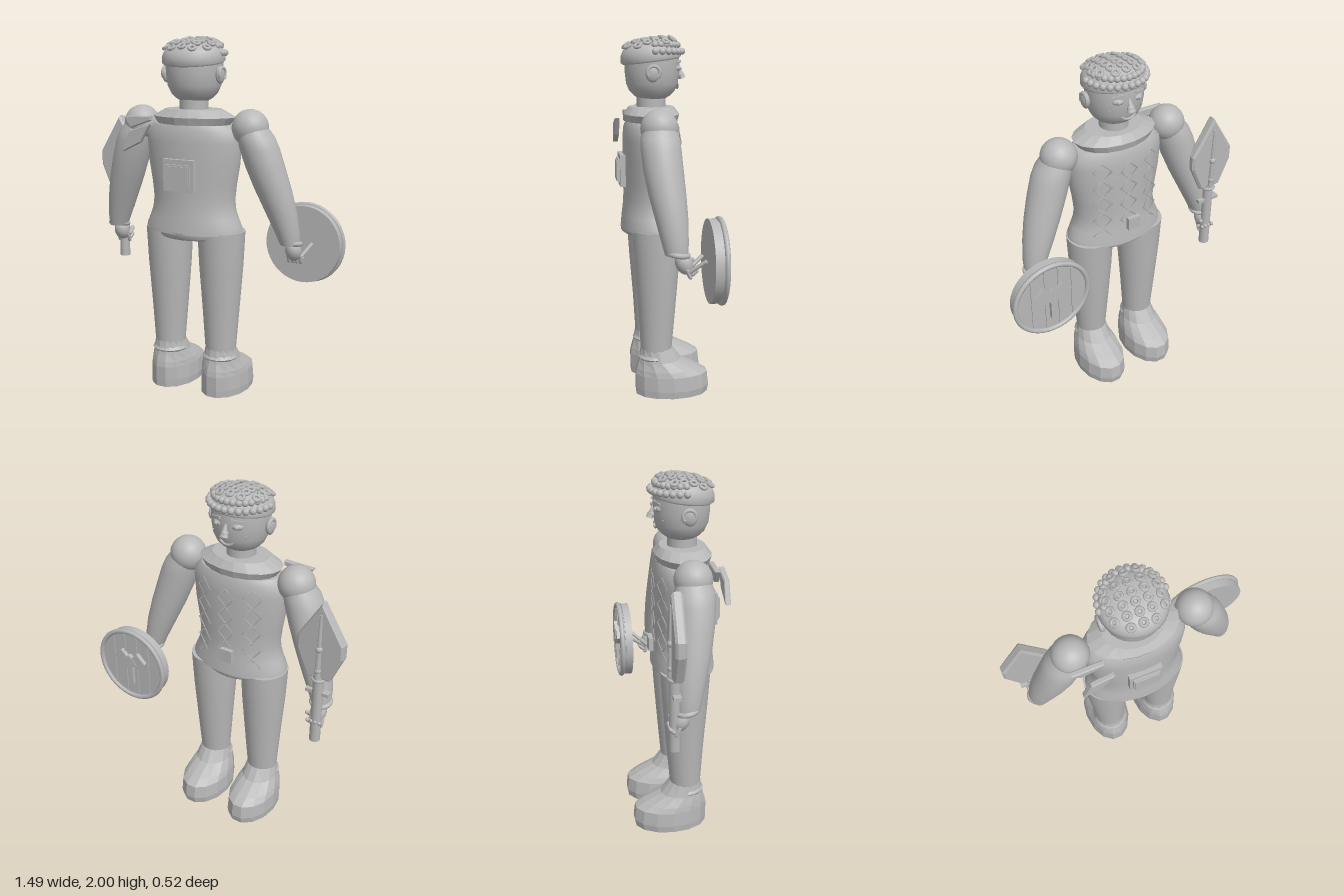
import * as THREE from 'three';

const grey = new THREE.MeshStandardMaterial({ color: 0xb8b8b8, side: THREE.DoubleSide });
grey.name = 'plain grey';

function add(parent, name, geo, x = 0, y = 0, z = 0, rx = 0, ry = 0, rz = 0) {
  const m = new THREE.Mesh(geo, grey);
  m.name = name;
  m.position.set(x, y, z);
  m.rotation.set(rx, ry, rz);
  parent.add(m);
  return m;
}

function flat(geo) {
  const g = geo.index ? geo.toNonIndexed() : geo;
  g.computeVertexNormals();
  return g;
}

// Skin over horizontal ellipses, bottom to top: [y, cx, cz, rx, rz]
function loft(rows, n = 28) {
  const p = [], idx = [];
  const ring = ([y, cx, cz, rx, rz]) => {
    for (let i = 0; i < n; i++) {
      const a = (i / n) * Math.PI * 2;
      p.push(cx + rx * Math.cos(a), y, cz + rz * Math.sin(a));
    }
  };
  rows.forEach(ring);
  for (let j = 0; j < rows.length - 1; j++) for (let i = 0; i < n; i++) {
    const a = j * n + i, d = j * n + (i + 1) % n;
    idx.push(a, a + n, d + n, a, d + n, d);
  }
  // End caps with their own vertices
  [rows[0], rows[rows.length - 1]].forEach((r, k) => {
    const s = p.length / 3;
    ring(r);
    p.push(r[1], r[0], r[2]);
    for (let i = 0; i < n; i++) {
      const a = s + i, b = s + (i + 1) % n;
      if (k) idx.push(s + n, b, a); else idx.push(s + n, a, b);
    }
  });
  const g = new THREE.BufferGeometry();
  g.setAttribute('position', new THREE.Float32BufferAttribute(p, 3));
  g.setIndex(idx);
  g.computeVertexNormals();
  return g;
}

// Flat plate from an outline in x and y
function plate(pts, depth, bevel) {
  const s = new THREE.Shape(pts.map(([x, y]) => new THREE.Vector2(x, y)));
  return flat(new THREE.ExtrudeGeometry(s, { depth, bevelSize: bevel, bevelThickness: bevel, bevelOffset: -bevel, bevelSegments: 1 }));
}

// Straight rod between two points
function rod(parent, name, a, b, r) {
  const A = new THREE.Vector3(...a), d = new THREE.Vector3(...b).sub(A);
  const m = add(parent, name, new THREE.CylinderGeometry(r, r, d.length(), 8));
  m.position.copy(A).addScaledVector(d, 0.5);
  m.quaternion.setFromUnitVectors(new THREE.Vector3(0, 1, 0), d.normalize());
}

function buildHead(body) {
  const head = new THREE.Group();
  head.name = 'head';
  body.add(head);
  add(head, 'neck', new THREE.CylinderGeometry(0.08, 0.08, 0.13, 28), 0, 1.635, 0.055);
  add(head, 'skull', loft([[1.66, 0, 0.05, 0.08, 0.075], [1.675, 0, 0.05, 0.105, 0.1], [1.70, 0, 0.05, 0.128, 0.125],
    [1.74, 0, 0.05, 0.147, 0.143], [1.80, 0, 0.05, 0.156, 0.15], [1.86, 0, 0.05, 0.16, 0.152], [1.91, 0, 0.05, 0.155, 0.145]]));
  const hair = add(head, 'hairCap', loft([[-0.045, 0, 0, 0.165, 0.155], [-0.035, 0, 0, 0.174, 0.168], [0, 0, 0, 0.172, 0.164],
    [0.03, 0, 0, 0.158, 0.149], [0.055, 0, 0, 0.123, 0.118], [0.068, 0, 0, 0.07, 0.07], [0.072, 0, 0, 0.01, 0.01]]), 0, 1.905, 0.06);
  hair.rotation.x = 0.12;
  // Rows of curls over the crown, tilted to follow it
  const curl = new THREE.TorusGeometry(0.017, 0.009, 6, 10);
  for (let i = -2; i <= 2; i++) for (let j = -2; j <= 3; j++) {
    const x = i * 0.062, z = j * 0.05 - 0.02;
    const r2 = (x / 0.17) ** 2 + (z / 0.17) ** 2;
    if (r2 < 1) add(head, 'curl', curl, x, 1.905 + 0.077 * Math.sqrt(1 - r2 * r2) - z * 0.12, z + 0.06, Math.PI / 2 + z * 4.5, -x * 4, 0);
  }
  // Bead curls around the sides and forehead
  const bead = new THREE.SphereGeometry(0.019, 10, 8);
  for (let k = 0; k < 2; k++) for (let i = 0; i < 15; i++) {
    const a = Math.PI + (i / 14) * Math.PI, r = 0.165 - k * 0.025;
    add(head, 'fringeCurl', bead, r * Math.cos(a), 1.915 + k * 0.035, 0.05 + r * Math.sin(a));
  }
  // Face, turned towards -z
  const nose = add(head, 'nose', new THREE.ConeGeometry(0.025, 0.085, 12), 0, 1.81, -0.106, 0.3);
  nose.scale.z = 0.8;
  add(head, 'noseTip', new THREE.SphereGeometry(0.021, 12, 8), 0, 1.785, -0.11);
  add(head, 'mouth', new THREE.TorusGeometry(0.055, 0.007, 6, 14, 1.8), 0, 1.77, -0.081, 0.15, 0, -Math.PI / 2 - 0.9);
  for (const s of [-1, 1]) {
    add(head, 'eye', new THREE.SphereGeometry(0.031, 14, 10), s * 0.06, 1.825, -0.083, 0, -s * 0.4).scale.set(1, 0.55, 0.5);
    add(head, 'pupil', new THREE.SphereGeometry(0.011, 10, 8), s * 0.061, 1.825, -0.096);
    add(head, 'eyebrow', new THREE.BoxGeometry(0.065, 0.012, 0.014), s * 0.062, 1.857, -0.088, 0, -s * 0.4, -s * 0.15);
    for (let k = 0; k < 3; k++) add(head, 'freckle', new THREE.SphereGeometry(0.005, 6, 5), s * (0.06 + 0.018 * k), 1.77 + (k % 2) * 0.015, -0.08 + k * 0.008);
    add(head, 'ear', new THREE.SphereGeometry(0.045, 14, 12), s * 0.165, 1.8, 0.065).scale.set(0.45, 1.05, 0.85);
    add(head, 'earRim', new THREE.TorusGeometry(0.033, 0.011, 8, 14, 4.6), s * 0.173, 1.805, 0.06, 0, Math.PI / 2, -0.8);
  }
}

function buildTorso(body) {
  add(body, 'torso', loft([[0.94, 0, 0.055, 0.29, 0.175], [0.97, 0, 0.055, 0.287, 0.172], [1.02, 0, 0.055, 0.265, 0.167],
    [1.06, 0, 0.055, 0.25, 0.162], [1.12, 0, 0.055, 0.243, 0.158], [1.2, 0, 0.055, 0.252, 0.158], [1.32, 0, 0.055, 0.273, 0.16],
    [1.44, 0, 0.055, 0.283, 0.16], [1.5, 0, 0.055, 0.275, 0.155], [1.535, 0, 0.055, 0.235, 0.143]], 40));
  add(body, 'shirtHem', loft([[0.9, 0, 0.055, 0.13, 0.1], [0.907, 0, 0.056, 0.195, 0.155], [0.92, 0, 0.058, 0.205, 0.17], [0.95, 0, 0.058, 0.208, 0.174]], 24));
  add(body, 'collar', flat(loft([[1.52, 0, 0.055, 0.205, 0.14], [1.575, 0, 0.055, 0.243, 0.155], [1.615, 0, 0.055, 0.165, 0.125]], 18)));
  // Diamond stitches on the chest
  const diamond = new THREE.TorusGeometry(0.05, 0.005, 4, 4);
  for (const x of [-0.15, 0, 0.15]) for (let k = 0; k < 5; k++) {
    const z = 0.055 - 0.159 * Math.sqrt(1 - (x / 0.275) ** 2);
    add(body, 'chestDiamond', diamond, x, 1.43 - k * 0.105 - (x ? 0 : 0.02), z, 0, -x * 2.5, 0);
  }
  add(body, 'buckle', new THREE.BoxGeometry(0.075, 0.075, 0.025), -0.02, 1.07, -0.125);
  // Square patch on the back
  add(body, 'backPatch', new THREE.BoxGeometry(0.185, 0.175, 0.03), 0, 1.267, 0.222);
  add(body, 'backPatchFrame', new THREE.BoxGeometry(0.15, 0.125, 0.014), 0, 1.265, 0.241);
  add(body, 'backPatchCentre', new THREE.BoxGeometry(0.135, 0.11, 0.012), 0, 1.264, 0.249);
}

function buildLimbs(body, s) {
  add(body, 'leg', loft([[0.2, s * 0.165, 0.05, 0.086, 0.086], [0.27, s * 0.165, 0.048, 0.088, 0.088], [0.5, s * 0.165, 0.045, 0.105, 0.105],
    [0.75, s * 0.165, 0.045, 0.124, 0.125], [0.95, s * 0.165, 0.045, 0.133, 0.138]]));
  add(body, 'shoe', flat(loft([[0, s * 0.165, -0.039, 0.134, 0.207], [0.04, s * 0.165, -0.042, 0.138, 0.212], [0.12, s * 0.165, -0.037, 0.133, 0.208],
    [0.15, s * 0.165, -0.015, 0.125, 0.18], [0.2, s * 0.165, 0.028, 0.104, 0.122], [0.27, s * 0.165, 0.048, 0.087, 0.089]], 14)));
  add(body, 'heelBand', flat(new THREE.TorusGeometry(0.084, 0.018, 5, 14, Math.PI)), s * 0.165, 0.218, 0.05, Math.PI / 2);

  add(body, 'shoulder', new THREE.SphereGeometry(0.1, 24, 18), s * 0.338, 1.525, 0.05);
  add(body, 'arm', loft([[0.9, s * 0.552, -0.012, 0.052, 0.06], [0.96, s * 0.54, -0.006, 0.066, 0.07], [1.08, s * 0.505, 0.008, 0.086, 0.086],
    [1.2, s * 0.465, 0.025, 0.1, 0.098], [1.32, s * 0.424, 0.04, 0.107, 0.105], [1.42, s * 0.392, 0.048, 0.108, 0.106], [1.48, s * 0.372, 0.05, 0.1, 0.102], [1.54, s * 0.345, 0.05, 0.08, 0.08]]));
  add(body, 'cuff', new THREE.TorusGeometry(0.051, 0.014, 8, 20), s * 0.555, 0.905, -0.02, Math.PI / 2 - 0.15);
  add(body, 'palm', new THREE.SphereGeometry(0.05, 16, 12), s * 0.558, 0.855, -0.05, 0.4).scale.set(0.9, 1.2, 0.9);
  for (let k = 0; k < 4; k++) {
    const x = s * (0.523 + k * 0.023);
    add(body, 'finger', new THREE.CapsuleGeometry(0.011, 0.04, 4, 8), x, 0.808, -0.07, 0.4);
    add(body, 'fingertip', new THREE.CapsuleGeometry(0.011, 0.025, 4, 8), x, 0.815, -0.1, -0.8);
  }
  add(body, 'thumb', new THREE.CapsuleGeometry(0.012, 0.04, 4, 8), s * 0.515, 0.85, -0.085, -0.8);
}

function buildShield(root) {
  const g = new THREE.Group();
  g.name = 'shield';
  g.position.set(0.509, 0.865, 0);
  root.add(g);
  add(g, 'shieldBack', new THREE.CylinderGeometry(0.219, 0.219, 0.042, 40), 0, 0, -0.195, Math.PI / 2);
  add(g, 'shieldBoard', new THREE.CylinderGeometry(0.21, 0.21, 0.025, 40), 0, 0, -0.222, Math.PI / 2);
  add(g, 'shieldRim', new THREE.TorusGeometry(0.217, 0.014, 8, 40), 0, 0, -0.235);
  for (const x of [-0.12, -0.04, 0.04, 0.12])
    add(g, 'plankSeam', new THREE.BoxGeometry(0.008, 2 * Math.sqrt(0.04 - x * x), 0.008), x, 0, -0.236);
  // Raised emblem: three diamonds on a stem
  for (const [x, y] of [[-0.055, 0.045], [0.055, 0.045], [0, 0.025]])
    add(g, 'emblemDiamond', new THREE.BoxGeometry(0.075, 0.075, 0.025), x, y, -0.246 - (x ? 0 : 0.003), 0, 0, Math.PI / 4);
  add(g, 'emblemStem', new THREE.BoxGeometry(0.035, 0.11, 0.022), 0, -0.07, -0.245);
  // Grip prongs reaching from the hand
  rod(g, 'gripProng', [-0.02, -0.05, -0.07], [-0.06, 0.015, -0.155], 0.011);
  rod(g, 'gripProng', [0.03, -0.05, -0.07], [0.065, 0.015, -0.155], 0.011);
}

function buildSpear(root) {
  const g = new THREE.Group();
  g.name = 'spear';
  g.position.set(-0.613, 0, -0.073);
  root.add(g);
  add(g, 'blade', plate([[0, 1.545], [-0.132, 1.33], [-0.132, 1.25], [-0.065, 1.095], [0.065, 1.095], [0.132, 1.25], [0.132, 1.33]], 0.034, 0.012), 0, 0, -0.017);
  add(g, 'shaft', new THREE.CylinderGeometry(0.03, 0.03, 0.42, 12), 0, 0.9, -0.01);
  add(g, 'bladeRidge', new THREE.CylinderGeometry(0.007, 0.018, 0.38, 8), 0, 1.29, -0.03);
  for (const y of [1.15, 1.28]) add(g, 'ridgeRing', new THREE.SphereGeometry(0.02, 10, 8), 0, y, -0.03);
  add(g, 'guard', new THREE.BoxGeometry(0.135, 0.02, 0.04), 0, 1.005, -0.005);
  add(g, 'shaftRing', new THREE.TorusGeometry(0.033, 0.009, 6, 16), 0, 1.09, -0.01, Math.PI / 2);
}

export function createModel() {
  const root = new THREE.Group();
  root.name = 'warrior';
  const body = new THREE.Group();
  body.name = 'body';
  body.position.x = -0.052;
  root.add(body);
  buildHead(body);
  buildTorso(body);
  for (const s of [-1, 1]) buildLimbs(body, s);
  buildShield(root);
  buildSpear(root);
  // Loose plates behind one shoulder
  add(root, 'upperPlate', plate([[-0.43, 1.57], [-0.385, 1.505], [-0.255, 1.55], [-0.255, 1.575]], 0.02, 0.005), 0, 0, 0.16);
  add(root, 'lowerPlate', plate([[-0.4, 1.38], [-0.35, 1.5], [-0.225, 1.535], [-0.285, 1.435]], 0.02, 0.005), 0, 0, 0.222);
  return root;
}
